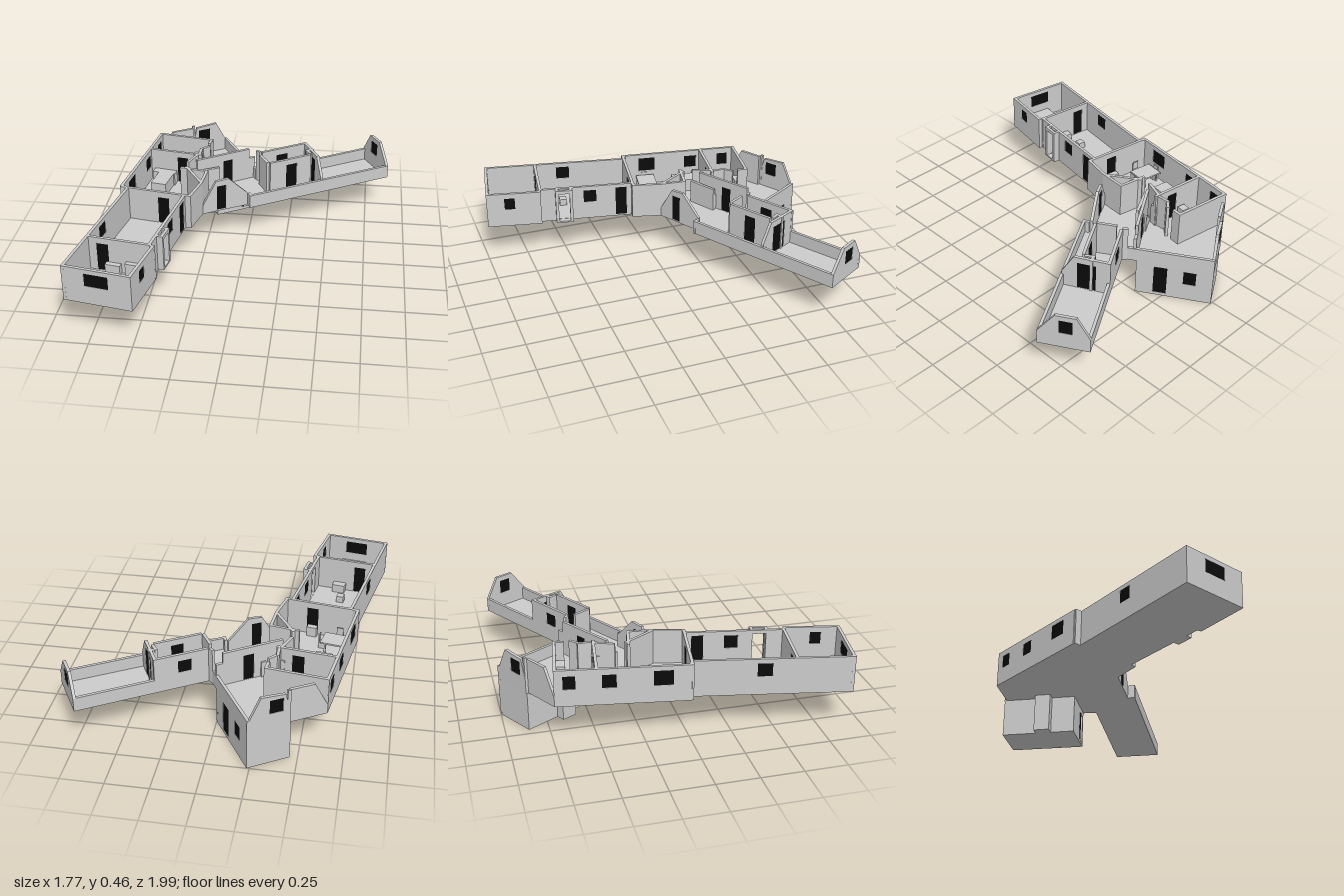
import * as THREE from 'three';

const T = 0.018, FLOOR = 0.235, TOP = 0.457, LOW = 0.32;
const grey = new THREE.MeshStandardMaterial({ color: 0xcccccc, flatShading: true, side: THREE.DoubleSide });
const black = new THREE.MeshStandardMaterial({ color: 0x0a0a0a });

export function createModel() {
  const model = new THREE.Group();

  const box = (name, x, y, z, w, h, d, angle = 0, mat = grey, parent = model) => {
    const mesh = new THREE.Mesh(new THREE.BoxGeometry(w, h, d), mat);
    mesh.name = name;
    mesh.position.set(x, y + h / 2, z);
    mesh.rotation.y = angle;
    parent.add(mesh);
    return mesh;
  };

  // A wall from a to b, its thickness to the right of travel.
  // top: [fraction, height] points; holes: [fraction, width, y0, y1, isOpen]
  const wall = (name, a, b, top = TOP, holes = [], base = FLOOR) => {
    const dx = b[0] - a[0], dz = b[1] - a[1], len = Math.hypot(dx, dz);
    const profile = Array.isArray(top) ? top : [[0, top], [1, top]];
    const shape = new THREE.Shape();
    shape.moveTo(0, base);
    profile.forEach(([t, h]) => shape.lineTo(t * len, h));
    shape.lineTo(len, base);
    shape.closePath();
    const group = new THREE.Group();
    group.name = name;
    holes.forEach(([t, w, y0, y1, isOpen]) => {
      const x0 = t * len - w / 2, x1 = t * len + w / 2;
      const hole = new THREE.Path();
      hole.moveTo(x0, y0);
      hole.lineTo(x1, y0);
      hole.lineTo(x1, y1);
      hole.lineTo(x0, y1);
      hole.closePath();
      shape.holes.push(hole);
      if (!isOpen) box('pane', t * len, y0, T / 2, w, y1 - y0, T * 0.8, 0, black, group);
    });
    const mesh = new THREE.Mesh(new THREE.ExtrudeGeometry(shape, { depth: T, bevelEnabled: false }), grey);
    mesh.name = name + 'Panel';
    group.add(mesh);
    group.position.set(a[0], 0, a[1]);
    group.rotation.y = -Math.atan2(dz, dx);
    model.add(group);
  };

  // A flat slab following a plan outline
  const slab = (name, points, y, h) => {
    const shape = new THREE.Shape(points.map(([x, z]) => new THREE.Vector2(x, -z)));
    const geo = new THREE.ExtrudeGeometry(shape, { depth: h, bevelEnabled: false });
    geo.rotateX(-Math.PI / 2);
    const mesh = new THREE.Mesh(geo, grey);
    mesh.name = name;
    mesh.position.y = y;
    model.add(mesh);
  };

  // Outer walls, clockwise in plan: [start corner, name, top profile, holes]
  const outer = [
    [[-0.89, 0.92], 'southWingWestWall', TOP, [[0.56, 0.085, 0.35, 0.43]]],
    [[-0.72, 0.03], 'westStep'],
    [[-0.76, 0.01], 'middleWestWall', TOP,
      [[0.205, 0.11, 0.34, 0.43], [0.6, 0.08, 0.34, 0.42], [0.89, 0.07, 0.34, 0.42]]],
    [[-0.645, -0.74], 'northWestWall', [[0, 0.29], [0.36, 0.45], [1, 0.45]]],
    [[-0.45, -0.855], 'northStep'],
    [[-0.455, -0.87], 'northGable', [[0, 0.32], [0.12, 0.44], [0.68, 0.45], [1, 0.29]], [[0.33, 0.08, 0.335, 0.42]]],
    [[-0.235, -1], 'northEastParapet', LOW],
    [[0.03, -0.565], 'northNotch', TOP],
    [[0.055, -0.545], 'eastWingNorthWall', [[0, TOP], [0.41, TOP], [0.41, LOW], [1, LOW]], [[0.18, 0.08, 0.34, 0.415]]],
    [[0.735, -0.955], 'eastGable', [[0, LOW], [0.26, 0.45], [0.66, 0.45], [1, LOW]], [[0.46, 0.075, 0.335, 0.42]]],
    [[0.885, -0.70], 'eastWingSouthParapet', LOW],
    [[0.02, -0.19], 'eastWingStep', LOW],
    [[0, -0.23], 'entranceGable', [[0, LOW], [0.42, 0.45], [0.7, 0.445], [1, 0.29]], [[0.585, 0.06, 0.245, 0.41]]],
    [[-0.265, -0.08], 'middleEastWall'],
    [[-0.31, 0.095], 'middleStep'],
    [[-0.345, 0.09], 'southWingEastWall', TOP,
      [[0.115, 0.07, 0.245, 0.435], [0.46, 0.08, 0.35, 0.43], [0.75, 0.08, 0.245, 0.435, true]]],
    [[-0.445, 0.655], 'southStep'],
    [[-0.42, 0.66], 'endRoomEastWall', TOP, [[0.575, 0.065, 0.35, 0.425]]],
    [[-0.49, 0.99], 'endRoomSouthWall', TOP, [[0.5, 0.14, 0.35, 0.43]]],
  ];
  outer.forEach(([a, name, top, holes], i) => wall(name, a, outer[(i + 1) % outer.length][0], top, holes));
  slab('mainFloor', outer.map(o => o[0]), FLOOR, 0.008);

  // Side porch on the south wing
  wall('porchNorth', [-0.41, 0.46], [-0.373, 0.467]);
  wall('porchFront', [-0.373, 0.467], [-0.393, 0.572], TOP, [[0.5, 0.07, 0.245, 0.435, true]]);
  wall('porchSouth', [-0.393, 0.572], [-0.43, 0.565]);
  slab('porchFloor', [[-0.41, 0.46], [-0.373, 0.467], [-0.393, 0.572], [-0.43, 0.565]], FLOOR, 0.008);

  // Lower storey with a small bay on its west side
  const low = [[-0.235, -1], [0, -0.61], [-0.228, -0.475], [-0.457, -0.865]];
  wall('lowerEastWall', low[0], low[1], FLOOR, [[0.3, 0.075, 0.115, 0.205], [0.68, 0.08, 0.02, 0.21]], 0);
  wall('lowerFrontWall', low[1], low[2], FLOOR, [[0.19, 0.085, 0.02, 0.2, true]], 0);
  wall('lowerWestWall', low[2], low[3], FLOOR, [], 0);
  wall('lowerNorthWall', low[3], low[0], FLOOR, [], 0);
  slab('lowerFloor', low, 0, 0.008);
  box('openDoorLeaf', -0.077, 0.02, -0.59, 0.008, 0.18, 0.05, 0.5, black);
  slab('lowerBay', [[-0.348, -0.684], [-0.3, -0.6], [-0.347, -0.573], [-0.395, -0.656]], 0, FLOOR);

  // Inner partitions
  wall('endRoomPartition', [-0.825, 0.59], [-0.44, 0.648], TOP, [[0.25, 0.07, 0.245, 0.42]]);
  wall('middlePartition', [-0.755, 0.005], [-0.31, 0.077], TOP, [[0.62, 0.07, 0.245, 0.42]]);
  wall('bedroomNorthPartition', [-0.64, -0.74], [-0.28, -0.685]);
  wall('bedroomEastPartition', [-0.28, -0.685], [-0.29, -0.62]);
  wall('bedroomCornerPartition', [-0.285, -0.58], [-0.325, -0.54]);
  wall('bedroomSouthPartition', [-0.67, -0.515], [-0.32, -0.465], TOP, [[0.63, 0.07, 0.245, 0.42]]);
  wall('hallEastPartition', [-0.33, -0.55], [-0.33, -0.47]);
  wall('hallDiagonal', [-0.34, -0.46], [-0.39, -0.34]);
  wall('stairSide', [-0.38, -0.34], [-0.21, -0.43], 0.39);
  wall('entryCross', [-0.43, -0.28], [-0.25, -0.245]);
  wall('entryEast', [-0.25, -0.245], [-0.265, -0.08]);
  wall('entryDiagonal', [-0.39, -0.29], [-0.27, -0.1]);
  wall('northPartition', [-0.35, -0.385], [0, -0.605],
    [[0, TOP], [0.9, TOP], [0.9, 0.39], [1, 0.39]], [[0.52, 0.065, 0.245, 0.41]]);

  // East wing rooms
  wall('eastPartition', [0.335, -0.71], [0.465, -0.46],
    [[0, TOP], [0.75, TOP], [1, 0.34]], [[0.48, 0.11, 0.245, 0.42]]);
  wall('eastInnerFront', [0.12, -0.4], [0.37, -0.55], TOP, [[0.52, 0.075, 0.245, 0.42]]);
  wall('eastInnerReturn', [0.37, -0.55], [0.335, -0.6]);
  wall('eastInnerEnd', [0.335, -0.6], [0.385, -0.625]);
  wall('eastInnerWest', [0.06, -0.5], [0.12, -0.4]);

  // Furniture, turned with each wing
  const west = -0.17;
  [
    ['bed', -0.66, 0.86, 0.16, 0.06, 0.17], ['cabinet', -0.67, 0.645, 0.09, 0.07, 0.035],
    ['cabinet', -0.55, 0.66, 0.09, 0.09, 0.035], ['sofa', -0.6, 0.6, 0.08, 0.06, 0.05],
    ['stool', -0.62, 0.47, 0.045, 0.05, 0.045], ['sideboard', -0.48, 0.03, 0.06, 0.07, 0.035],
    ['counter', -0.57, -0.35, 0.1, 0.09, 0.15], ['counter', -0.57, -0.45, 0.15, 0.09, 0.05],
    ['bed', -0.59, -0.63, 0.08, 0.06, 0.15], ['cabinet', -0.51, -0.53, 0.05, 0.08, 0.05],
    ['cabinet', -0.37, -0.66, 0.08, 0.12, 0.06], ['closet', -0.35, -0.45, 0.05, 0.14, 0.05],
  ].forEach(([name, x, z, w, h, d]) => box(name, x, FLOOR, z, w, h, d, west));

  // Dining table and chairs
  box('tableTop', -0.63, 0.305, -0.11, 0.15, 0.01, 0.12, west);
  for (const sx of [-1, 1]) for (const sz of [-1, 1])
    box('tableLeg', -0.63 + sx * 0.055, FLOOR, -0.11 + sz * 0.045, 0.01, 0.07, 0.01, west);
  for (const [x, z, a] of [[-0.65, -0.02, west], [-0.7, -0.12, west - 1.57], [-0.555, -0.09, west + 1.57]]) {
    const chair = new THREE.Group();
    chair.name = 'chair';
    box('chairSeat', 0, 0, 0, 0.04, 0.045, 0.04, 0, grey, chair);
    box('chairBack', 0, 0, 0.018, 0.04, 0.095, 0.006, 0, grey, chair);
    chair.position.set(x, FLOOR, z);
    chair.rotation.y = a;
    model.add(chair);
  }

  // Stairs beside the hall
  for (let i = 0; i < 5; i++)
    box('stairStep', -0.34 + i * 0.026, FLOOR, -0.375 - i * 0.015, 0.03, 0.02 + i * 0.022, 0.06, Math.PI / 6);

  return model;
}
